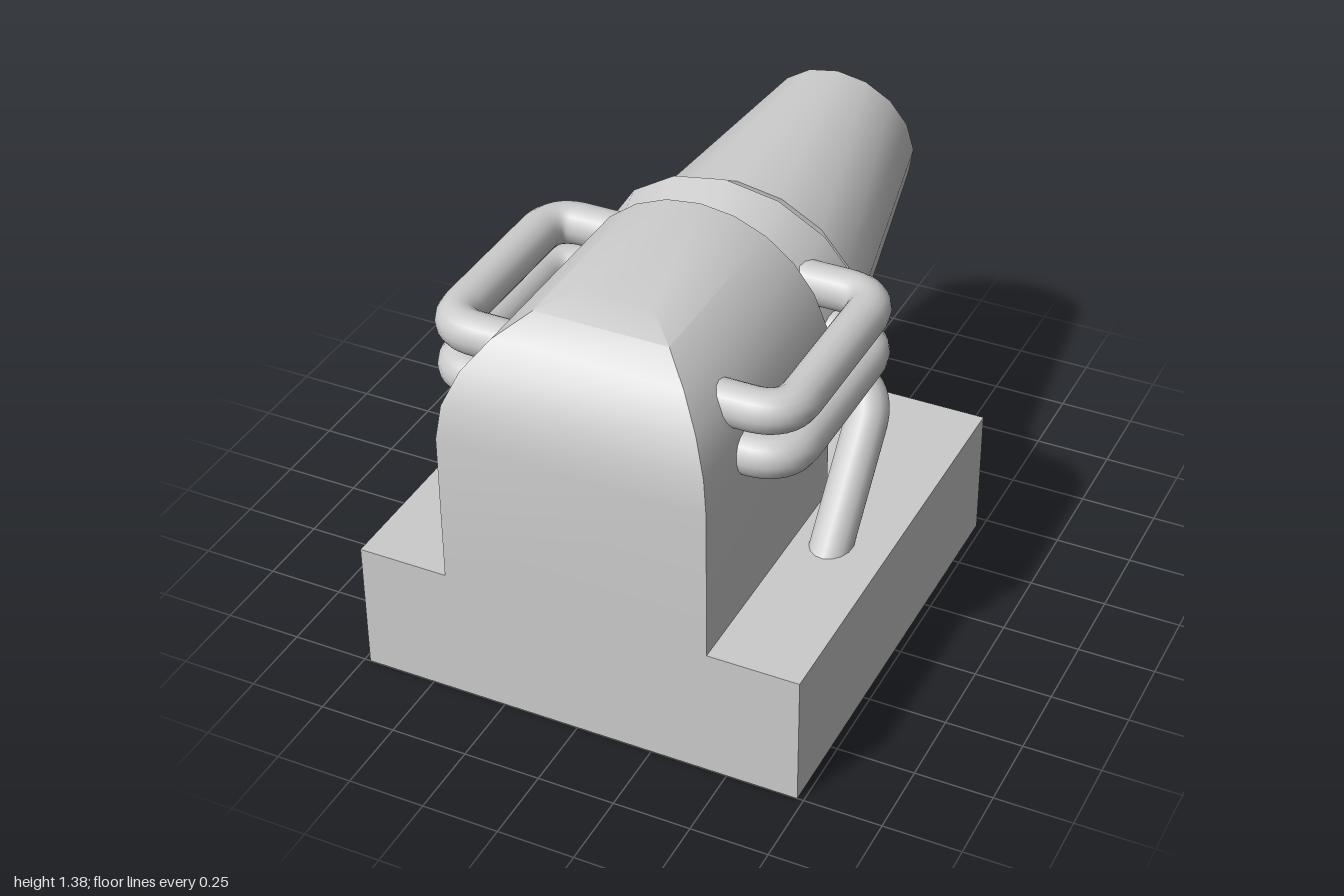
import * as THREE from 'three';
import { toCreasedNormals } from 'three/addons/utils/BufferGeometryUtils.js';

const material = new THREE.MeshStandardMaterial({ color: 0xcccccc });

function part(name, geometry, parent) {
  const mesh = new THREE.Mesh(geometry, material);
  mesh.name = name;
  parent.add(mesh);
  return mesh;
}

// Domed housing: rectangles that shrink with height, so sides and front meet in mitres
function housingGeometry() {
  const r = 0.435, yc = 0.945, zc = 0.565, back = 0.13, steps = 6;
  const rings = [[r, 0.44]];
  for (let i = 0; i <= steps; i++) {
    const a = (i / steps) * Math.PI / 2;
    rings.push([r * Math.cos(a), yc + r * Math.sin(a)]);
  }
  const positions = [], indices = [];
  for (const [w, y] of rings) {
    positions.push(-w, y, zc + w, w, y, zc + w, w, y, back, -w, y, back);
  }
  for (let i = 0; i < rings.length - 1; i++) {
    for (let k = 0; k < 4; k++) {
      const a = i * 4 + k, b = i * 4 + (k + 1) % 4;
      indices.push(a, b, b + 4, a, b + 4, a + 4);
    }
  }
  indices.push(0, 2, 1, 0, 3, 2); // underside
  const g = new THREE.BufferGeometry();
  g.setAttribute('position', new THREE.Float32BufferAttribute(positions, 3));
  g.setIndex(indices);
  return toCreasedNormals(g, 0.6);
}

// Turned part from [radius, height] pairs
function turned(profile) {
  const points = profile.map(([r, y]) => new THREE.Vector2(r, y));
  return toCreasedNormals(new THREE.LatheGeometry(points, 16), Math.PI / 6);
}

// Round pipe through corner points, each inner corner bent with the given reach
function pipeGeometry(corners, bend) {
  const p = corners.map((c) => new THREE.Vector3(...c));
  const path = new THREE.CurvePath();
  let start = p[0];
  for (let i = 1; i < p.length - 1; i++) {
    const before = p[i].clone().add(p[i - 1].clone().sub(p[i]).setLength(bend));
    const after = p[i].clone().add(p[i + 1].clone().sub(p[i]).setLength(bend));
    path.add(new THREE.LineCurve3(start, before));
    path.add(new THREE.QuadraticBezierCurve3(before, p[i], after));
    start = after;
  }
  path.add(new THREE.LineCurve3(start, p[p.length - 1]));
  return new THREE.TubeGeometry(path, 64, 0.068, 16);
}

export function createModel() {
  const model = new THREE.Group();
  model.name = 'nozzleUnit';

  part('base', new THREE.BoxGeometry(1.46, 0.44, 1.46), model).position.set(0, 0.22, 0.27);
  part('housing', housingGeometry(), model);

  // Tilted nozzle assembly, pointing back and slightly up
  const nozzle = new THREE.Group();
  nozzle.name = 'nozzleAssembly';
  nozzle.position.set(0, 0.92, -0.1225);
  nozzle.rotation.x = THREE.MathUtils.degToRad(-80);
  model.add(nozzle);
  part('collar', turned([[0, -0.5], [0.372, -0.5], [0.457, 0], [0, 0]]), nozzle);
  part('neck', turned([[0.338, -0.02], [0.318, 0.09]]), nozzle);
  part('nozzle', turned([
    [0, 0.077], [0.39, 0.077], [0.26, 0.84], [0.25, 0.84], [0.12, 0.47], [0, 0.47],
  ]), nozzle);

  // Side pipes, mirrored left and right
  for (const [side, s] of [['left', 1], ['right', -1]]) {
    const x = 0.55 * s, inner = 0.25 * s;
    for (const [level, y] of [['upper', 1.14], ['lower', 0.985]]) {
      part(`${side}${level}Pipe`, pipeGeometry(
        [[inner, y, 0.72], [x, y, 0.72], [x, y, 0.04], [inner, y, 0.04]], 0.11), model);
    }
    part(`${side}DrainPipe`, pipeGeometry(
      [[inner, 0.828, 0.035], [x, 0.828, 0.035], [x, 0.34, 0.435]], 0.13), model);
  }
  return model;
}
